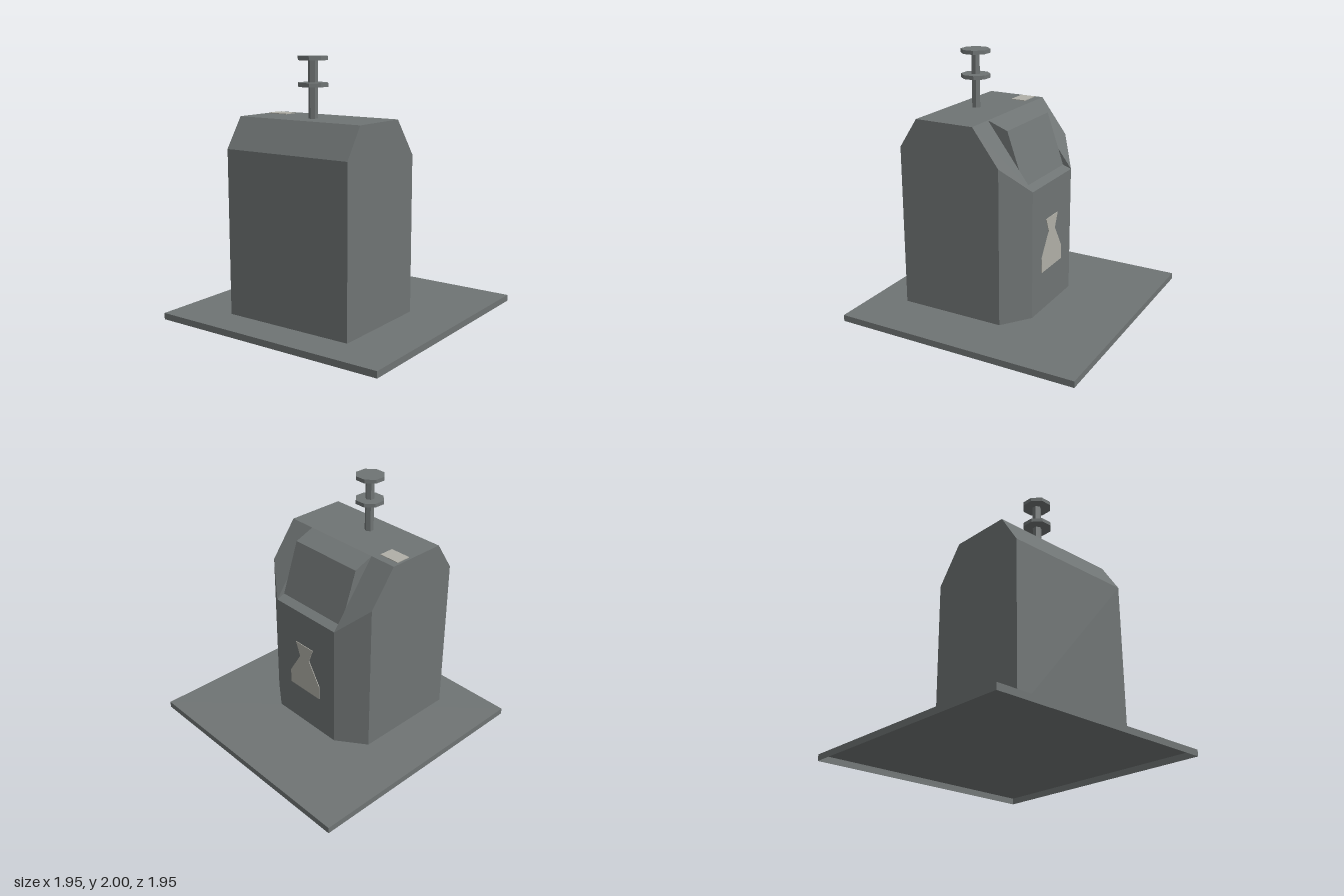
import * as THREE from 'three';

const grey = new THREE.MeshStandardMaterial({ color: 0x6f7474, side: THREE.DoubleSide });
grey.name = 'metal grey';
const pale = new THREE.MeshStandardMaterial({ color: 0xb0afa7 });
pale.name = 'pale label';

// Flat-shaded geometry from convex faces, each a counter-clockwise list of [x, y, z]
function facetGeometry(faces) {
  const pos = [];
  for (const f of faces) {
    for (let i = 1; i < f.length - 1; i++) pos.push(...f[0], ...f[i], ...f[i + 1]);
  }
  const g = new THREE.BufferGeometry();
  g.setAttribute('position', new THREE.Float32BufferAttribute(pos, 3));
  g.computeVertexNormals();
  return g;
}

function add(parent, name, geometry, material, x = 0, y = 0, z = 0) {
  const m = new THREE.Mesh(geometry, material);
  m.name = name;
  m.position.set(x, y, z);
  parent.add(m);
  return m;
}

export function createModel() {
  const model = new THREE.Group();
  model.name = 'wasteContainer';

  // Ground plate, open underneath
  const plate = new THREE.BoxGeometry(1.945, 0.05, 1.945);
  const index = Array.from(plate.index.array);
  index.splice(18, 6);
  plate.setIndex(index);
  plate.clearGroups();
  add(model, 'groundPlate', plate, grey, 0, 0.025, 0);

  // Outline heights and depths as [y, z]
  const W = 0.54, H = 0.32;
  const frontFoot = [0.05, 0.69], frontEdge = [1.32, 0.69], topFront = [1.55, 0.54];
  const topBack = [1.55, 0.06], shoulder = [1.27, -0.15], cornerFoot = [0.05, -0.15];
  const backEdge = [1.06, -0.31], backFoot = [0.05, -0.31];
  const hoodLip = [1.49, -0.10], hoodMeet = [1.21, -0.196], hoodFoot = [1.085, -0.24];
  const at = (x, p) => [x, p[0], p[1]];
  const mirror = (faces) => faces.concat(
    faces.map((f) => f.map(([x, y, z]) => [-x, y, z]).reverse()));
  // Band across the full width between two outline points, running front to back
  const band = (w, a, b) => [at(-w, a), at(w, a), at(w, b), at(-w, b)];

  // Body with bevelled front edge, sloped back and cut-off back corners
  add(model, 'body', facetGeometry([
    ...mirror([
      [frontFoot, cornerFoot, shoulder, topBack, topFront, frontEdge].map((p) => at(W, p)),
      [at(W, cornerFoot), at(H, backFoot), at(H, backEdge), at(W, shoulder)],
      [at(W, topBack), at(W, shoulder), at(H, backEdge), at(H, topBack)],
    ]),
    band(W, frontFoot, frontEdge),
    band(W, frontEdge, topFront),
    band(W, topFront, topBack),
    band(H, backEdge, backFoot),
  ]), grey);

  // Hood of the filling hatch, ending in a shallow recess with a ledge
  add(model, 'hatch', facetGeometry([
    ...mirror([
      [topBack, hoodMeet, hoodLip].map((p) => at(H, p)),
      [hoodMeet, backEdge, hoodFoot].map((p) => at(H, p)),
    ]),
    band(H, topBack, hoodLip),
    band(H, hoodLip, hoodFoot),
    band(H, hoodFoot, backEdge),
  ]), grey);

  // Lifting post with two octagonal discs
  const lift = new THREE.Group();
  lift.name = 'liftingPost';
  lift.position.z = 0.355;
  model.add(lift);
  add(lift, 'post', new THREE.CylinderGeometry(0.035, 0.035, 0.44, 6).toNonIndexed(), grey, 0, 1.76, 0);
  for (const y of [1.795, 1.985]) {
    add(lift, 'disc', new THREE.CylinderGeometry(0.113, 0.113, 0.03, 8).toNonIndexed(), grey, 0, y, 0)
      .rotation.y = Math.PI / 8;
  }
  lift.children.forEach((m) => m.geometry.computeVertexNormals());

  // Label plate on the roof
  add(model, 'roofLabel', new THREE.BoxGeometry(0.17, 0.006, 0.12), pale, -0.435, 1.552, 0.18);

  // Rubbish bag sign on the back
  const half = [[0.165, 0.365], [0.165, 0.48], [0.085, 0.61], [0.05, 0.665], [0.095, 0.78]];
  const outline = [...half, ...half.map(([x, y]) => [-x, y]).reverse()];
  const bag = new THREE.Shape(outline.map(([x, y]) => new THREE.Vector2(x, y)));
  add(model, 'bagSign', new THREE.ExtrudeGeometry(bag, { depth: 0.006, bevelEnabled: false }),
    pale, 0.01, 0, -0.315);

  return model;
}
